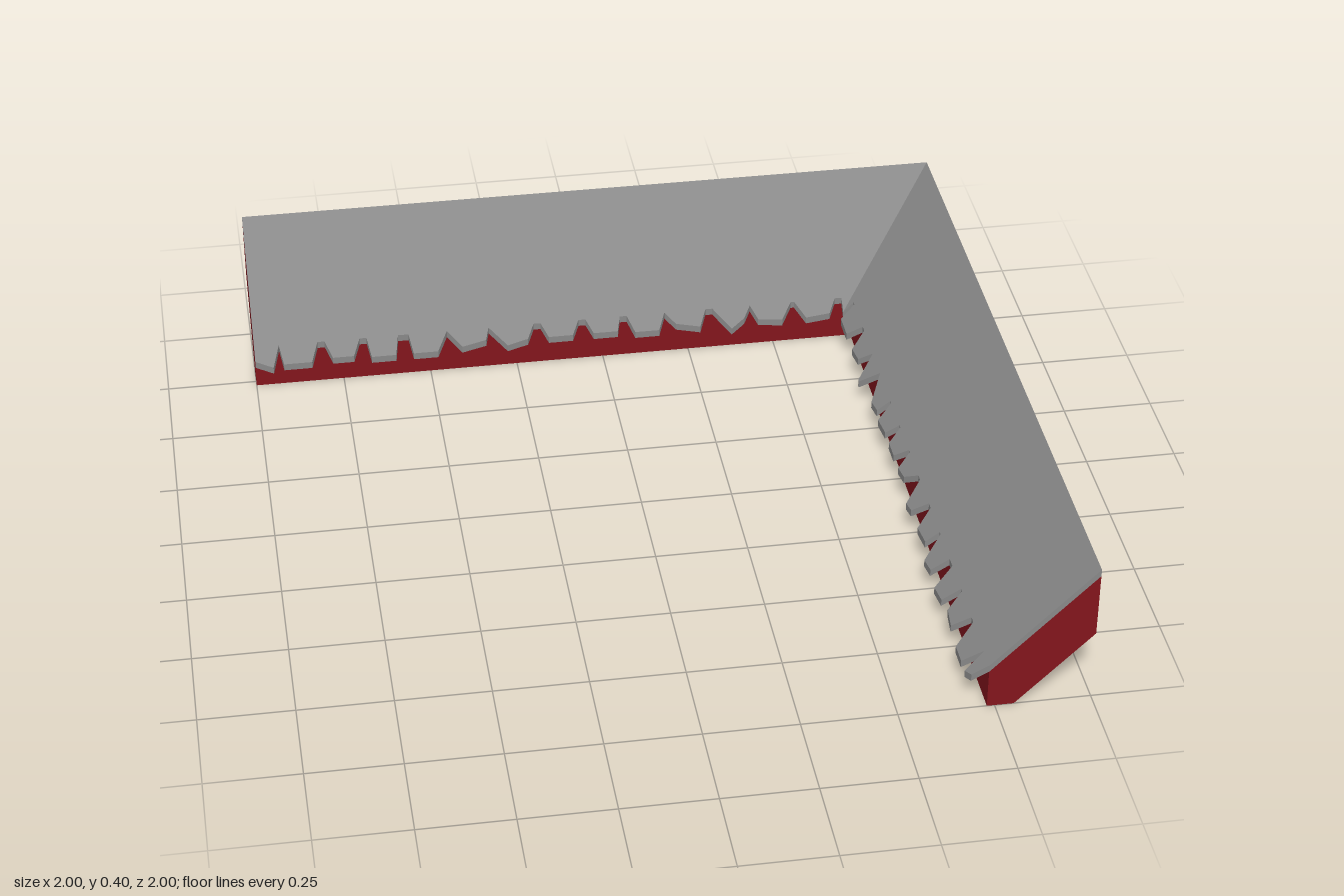
import * as THREE from 'three';

const EAVE = 0.27;

// Each wing is laid out in plan: s runs along it towards the corner, d inwards from the outer edge.
// A plan outline is filled between two heights that depend on d.
function slab(outline, bottom, top, back) {
  const shape = new THREE.Shape(outline.map(([s, d]) => new THREE.Vector2(s, d)));
  const geo = new THREE.ExtrudeGeometry(shape, { depth: 1, bevelEnabled: false });
  const p = geo.attributes.position;
  for (let i = 0; i < p.count; i++) {
    const s = p.getX(i), d = p.getY(i), t = p.getZ(i);
    const y = THREE.MathUtils.lerp(bottom(d), top(d), t);
    if (back) p.setXYZ(i, s, y, d - 1);
    else p.setXYZ(i, 1 - d, y, -s);
  }
  // the back wing is a mirror image, so its corner order is reversed
  if (back) {
    const a = new THREE.Vector3(), b = new THREE.Vector3();
    for (let i = 0; i < p.count; i += 3) {
      a.fromBufferAttribute(p, i + 1);
      b.fromBufferAttribute(p, i + 2);
      p.setXYZ(i + 1, b.x, b.y, b.z);
      p.setXYZ(i + 2, a.x, a.y, a.z);
    }
  }
  geo.computeVertexNormals();
  return geo;
}

// Ragged tiles in hundredths: base start, tip start and its depth, tip end and its depth, base end
const backTeeth = [
  [-100, -100, 30, -95, 31.5, -93], [-93, -92, 31, -84, 31, -82], [-80, -78, 30.5, -72, 30.5, -70],
  [-68, -67, 31, -60, 31, -59], [-56, -55, 31, -48, 31, -45], [-45, -41, 30.5, -34, 29.5, -33],
  [-33, -28, 31, -22, 30, -20], [-18, -16, 30, -9, 30, -7], [-5, -3, 30, 4, 30, 5],
  [7, 9, 30.5, 16, 30.5, 18], [18, 21, 29.5, 28, 30.5, 30], [32, 37, 31.5, 41, 29.5, 43],
  [43, 45, 30, 52, 30.5, 55], [56, 59, 30.5, 66, 30, 68],
];
const sideTeeth = [
  [-100, -98, 31, -95, 32, -94], [-94, -91, 32, -85, 32, -82], [-80, -77, 31.5, -71, 31, -69],
  [-68, -66, 31.5, -60, 32, -58], [-55, -53, 31.5, -48, 32, -44], [-43, -42, 30.5, -35, 31, -32],
  [-30, -27, 31, -23, 31.5, -19], [-17, -13, 30, -8, 30.5, -6], [-5, -2, 30.5, 4, 30.5, 6],
  [7, 9, 30.5, 16, 31, 18], [19, 20, 30.5, 25, 31, 33], [33, 37, 32, 38, 32, 43],
  [43, 46, 30.5, 52, 31, 55], [57, 60, 31, 68, 31, 69],
];
const beams = [[-1, -0.94], [-0.63, -0.57], [-0.23, -0.17], [0.16, 0.23], [0.57, 0.63]];

function createWing(back, teeth) {
  const wing = new THREE.Group();
  wing.name = back ? 'backWing' : 'leftWing';
  const wood = new THREE.MeshStandardMaterial({ color: 0x83151d });
  const tile = new THREE.MeshStandardMaterial({ color: 0x898989 });
  const add = (name, material, outline, bottom, top) => {
    const mesh = new THREE.Mesh(slab(outline, bottom, top, back), material);
    mesh.name = name;
    wing.add(mesh);
  };

  // sloping roof sheet with a ragged eave, mitred at the corner
  const sheet = [[1, 0], [0.7, 0.3], [0.7, EAVE]];
  for (const [a, b, db, c, dc, e] of [...teeth].reverse()) {
    sheet.push([e / 100, EAVE], [c / 100, dc / 100], [b / 100, db / 100], [a / 100, EAVE]);
  }
  sheet.push([-1, 0]);
  add('roofSheet', tile, sheet, d => 0.38 - d, d => 0.4 - d);

  // wooden body under the sheet
  const underside = d => 0.27 - d;
  add('roofBody', wood, [[-1, 0], [1, 0], [0.73, 0.27], [-1, 0.27]], underside, d => 0.38 - d);

  // raised beams below the body: sloping part and flat foot
  for (const [a, b] of beams) {
    add('beam', wood, [[a, 0], [b, 0], [b, 0.2], [a, 0.2]], d => 0.2 - d, underside);
    add('beamFoot', wood, [[a, 0.2], [b, 0.2], [b, 0.27], [a, 0.27]], () => 0, underside);
  }
  add('cornerBeam', wood, [[0.93, 0], [1, 0], [0.93, 0.07]], d => 0.2 - d, underside);
  return wing;
}

export function createModel() {
  const model = new THREE.Group();
  model.name = 'roofCorner';
  model.add(createWing(true, backTeeth), createWing(false, sideTeeth));
  return model;
}
